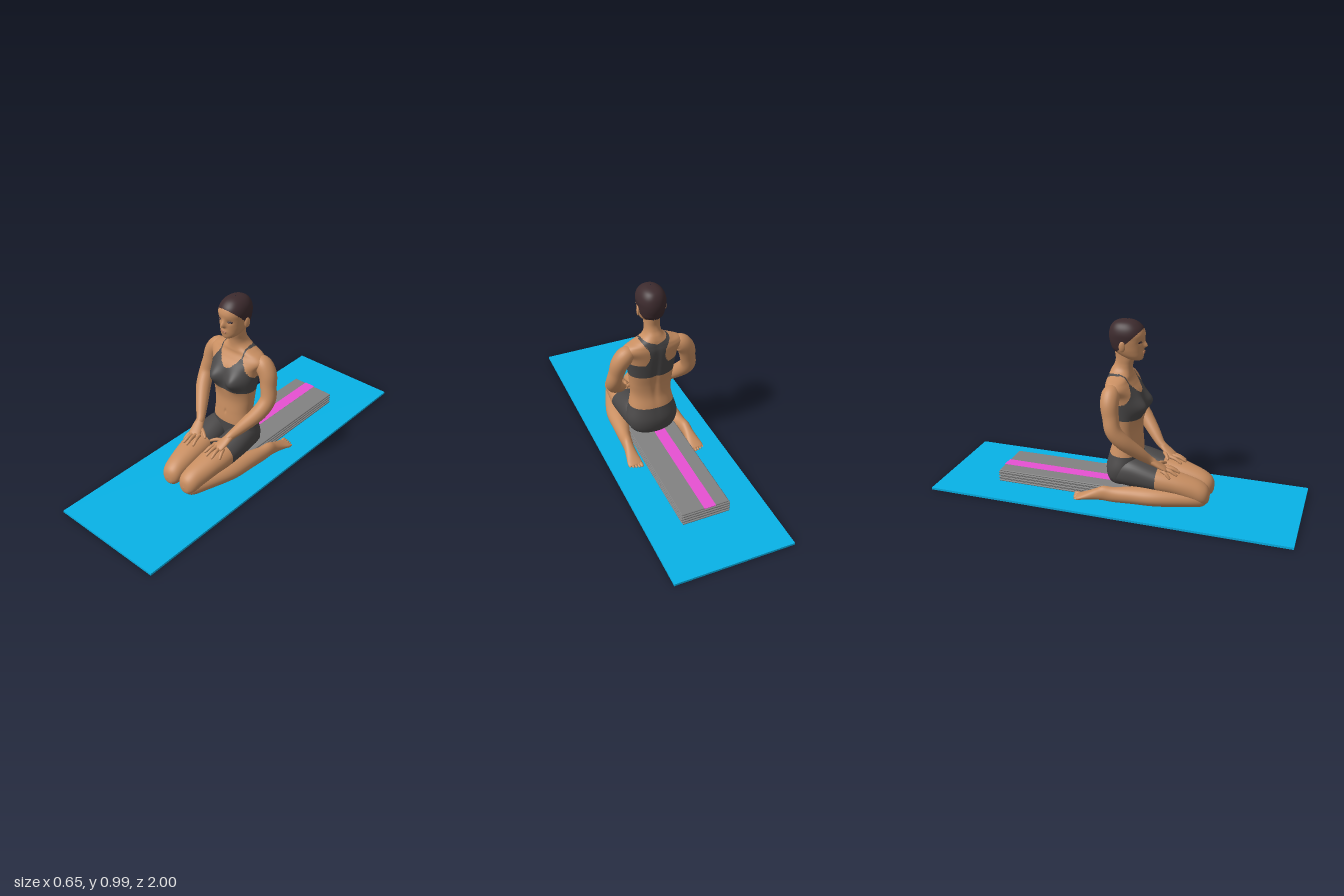
import * as THREE from 'three';
import { RoundedBoxGeometry } from 'three/addons/geometries/RoundedBoxGeometry.js';

const material = (name, color) => {
  const m = new THREE.MeshStandardMaterial({ color });
  m.name = name;
  return m;
};

const Y = new THREE.Vector3(0, 1, 0), Z = new THREE.Vector3(0, 0, 1), BACK = new THREE.Vector3(0, 0, -1);

// Catmull-Rom blend of whole rows of numbers
function refine(rows, steps) {
  const at = i => rows[Math.min(rows.length - 1, Math.max(0, i))];
  const out = [];
  for (let i = 0; i < rows.length - 1; i++) {
    for (let k = 0; k < steps; k++) {
      const t = k / steps;
      out.push(rows[i].map((p1, c) => {
        const p0 = at(i - 1)[c], p2 = at(i + 1)[c], p3 = at(i + 2)[c];
        return 0.5 * (2 * p1 + (p2 - p0) * t + (2 * p0 - 5 * p1 + 4 * p2 - p3) * t * t
          + (3 * p1 - p0 - 3 * p2 + p3) * t * t * t);
      }));
    }
  }
  out.push(rows[rows.length - 1]);
  return out;
}

// Smooth skin over rows [x, y, z, halfWidth, halfDepth]; paint() picks a material per face.
// axis fixes the section normal and must point the way the rows run.
function loft(name, rows, mats, { axis, ref = Z, sides = 20, steps = 5, power = 2, deform, paint } = {}) {
  const rings = refine(rows, steps);
  const pts = [];
  const center = i => new THREE.Vector3(...rings[Math.min(rings.length - 1, Math.max(0, i))].slice(0, 3));
  const curve = v => Math.sign(v) * Math.pow(Math.abs(v), 2 / power);
  rings.forEach((r, i) => {
    const T = axis || center(i + 1).sub(center(i - 1)).normalize();
    const U = T.clone().cross(ref).normalize(), V = U.clone().cross(T);
    for (let j = 0; j < sides; j++) {
      const a = j / sides * Math.PI * 2;
      const p = center(i).addScaledVector(U, Math.max(r[3], 0.0005) * curve(Math.cos(a)))
        .addScaledVector(V, Math.max(r[4], 0.0005) * curve(Math.sin(a)));
      if (deform) deform(p);
      pts.push(p);
    }
  });
  const buckets = mats.map(() => []);
  const face = (a, b, c) => {
    const mid = pts[a].clone().add(pts[b]).add(pts[c]).divideScalar(3);
    buckets[paint ? paint(mid) : 0].push(a, b, c);
  };
  for (let i = 0; i < rings.length - 1; i++) {
    for (let j = 0; j < sides; j++) {
      const a = i * sides + j, d = i * sides + (j + 1) % sides;
      face(a, a + sides, d);
      face(a + sides, d + sides, d);
    }
  }
  const g = new THREE.BufferGeometry().setFromPoints(pts);
  g.setIndex(buckets.flat());
  let start = 0;
  buckets.forEach((b, i) => { g.addGroup(start, b.length, i); start += b.length; });
  g.computeVertexNormals();
  const mesh = new THREE.Mesh(g, mats);
  mesh.name = name;
  return mesh;
}

function ball(name, mat, pos, scale, turn = 0) {
  const mesh = new THREE.Mesh(new THREE.SphereGeometry(1, 20, 12), mat);
  mesh.position.set(...pos);
  mesh.scale.set(...scale);
  mesh.rotation.y = turn;
  mesh.name = name;
  return mesh;
}

const bump = (v, mid, width) => Math.exp(-(((v - mid) / width) ** 2));

export function createModel() {
  const skin = material('skin', 0xc88e61), hair = material('hair', 0x3d2b2e), cloth = material('cloth', 0x4a4848);
  const matBlue = material('matBlue', 0x08b6ec), grey = material('blanketGrey', 0x828282);
  const pink = material('stripePink', 0xfc58e6), white = material('eyeWhite', 0xb8aca4), lip = material('lip', 0xb27454);
  const model = new THREE.Group();
  model.name = 'kneelingFigureOnMat';

  const box = (name, mat, size, pos, radius) => {
    const g = radius ? new RoundedBoxGeometry(...size, 2, radius) : new THREE.BoxGeometry(...size);
    const mesh = new THREE.Mesh(g, mat);
    mesh.position.set(...pos);
    mesh.name = name;
    model.add(mesh);
  };

  // Mat and folded blanket
  box('mat', matBlue, [0.65, 0.012, 2], [0, 0.006, 0]);
  for (let i = 0; i < 8; i++) {
    const shift = (i % 2) * 0.006;
    box('blanketLayer', grey, [0.264, 0.0088, 0.76 - shift], [0.001 + shift, 0.0164 + i * 0.0084, -0.3 + shift / 2], 0.004);
  }
  box('blanketStripe', pink, [0.065, 0.003, 0.755], [-0.018, 0.0785, -0.3]);

  const body = new THREE.Group();
  body.name = 'figure';
  body.position.x = 0.006;
  model.add(body);

  // Rows [y, halfWidth, frontZ, backZ] for upright parts
  const upright = rows => rows.map(([y, w, f, b]) => [0, y, (f + b) / 2, w, (f - b) / 2]);

  // Torso with sports top and waistband
  const topPaint = p => {
    const ax = Math.abs(p.x), y = p.y;
    if (y < 0.26) return 1;
    if (y < 0.472 || y > 0.725) return 0;
    if (p.z > 0.02) {
      if (ax > 0.07 && ax < 0.077 && y > 0.64) return 1;
      return y < (ax < 0.072 ? 0.6 + 0.07 * (ax / 0.072) ** 2 : 0.67 - (ax - 0.072) * 1.6) ? 1 : 0;
    }
    if (y < 0.56) return 1;
    return ax < 0.042 + 6 * (y - 0.62) ** 2 && y < 0.685 + ax * 0.35 ? 1 : 0;
  };
  body.add(loft('torso', upright([
    [0.08, 0.01, 0.05, 0.03], [0.085, 0.09, 0.09, -0.03], [0.115, 0.13, 0.11, -0.055], [0.18, 0.146, 0.125, -0.063],
    [0.26, 0.127, 0.13, -0.046], [0.33, 0.115, 0.125, -0.028], [0.4, 0.121, 0.12, -0.028], [0.47, 0.128, 0.128, -0.04],
    [0.54, 0.137, 0.13, -0.052], [0.6, 0.146, 0.117, -0.06], [0.645, 0.172, 0.088, -0.062], [0.672, 0.15, 0.072, -0.058],
    [0.69, 0.108, 0.069, -0.054], [0.706, 0.072, 0.067, -0.05], [0.725, 0.051, 0.067, -0.042], [0.75, 0.042, 0.07, -0.028],
    [0.78, 0.041, 0.078, -0.022], [0.82, 0.042, 0.085, -0.028],
  ]), [skin, cloth], {
    axis: Y, sides: 160, steps: 10, power: 2.2, paint: topPaint,
    deform: p => {
      const ax = Math.abs(p.x);
      if (p.z > 0.04) {
        p.z += 0.042 * bump(ax, 0.066, 0.047) * bump(p.y, 0.537, 0.05);
        p.z -= 0.006 * bump(p.x, 0, 0.005) * bump(p.y, 0.326, 0.012);
      } else if (p.z < 0) p.z += 0.008 * bump(p.x, 0, 0.018) * bump(p.y, 0.48, 0.16);
    },
  }));

  // Head with cropped hair, nose and eye sockets
  body.add(loft('head', upright([
    [0.776, 0.008, 0.107, 0.08], [0.781, 0.03, 0.121, 0.045], [0.8, 0.05, 0.127, 0.005], [0.83, 0.063, 0.128, -0.035],
    [0.86, 0.069, 0.129, -0.049], [0.89, 0.073, 0.132, -0.056], [0.92, 0.075, 0.134, -0.056], [0.95, 0.067, 0.123, -0.048],
    [0.973, 0.05, 0.1, -0.03], [0.986, 0.027, 0.073, 0], [0.99, 0.002, 0.045, 0.037],
  ]), [skin, hair], {
    axis: Y, sides: 144, steps: 9, power: 2.2,
    paint: p => (p.y > Math.min(0.945, 0.822 + 0.95 * Math.max(0, p.z + 0.005)) ? 1 : 0),
    deform: p => {
      if (p.z < 0.08) return;
      p.z += 0.021 * bump(p.x, 0, 0.011) * bump(p.y, 0.856, p.y > 0.856 ? 0.023 : 0.01);
      p.z -= 0.006 * bump(Math.abs(p.x), 0.031, 0.016) * bump(p.y, 0.879, 0.012);
      p.z += 0.005 * bump(p.x, 0, 0.022) * bump(p.y, 0.821, 0.011);
    },
  }));
  body.add(ball('upperLip', lip, [0, 0.8245, 0.1305], [0.02, 0.0036, 0.004]));
  body.add(ball('lowerLip', lip, [0, 0.8185, 0.1305], [0.017, 0.0042, 0.004]));

  for (const s of [1, -1]) {
    const side = s > 0 ? 'left' : 'right';
    const flip = rows => rows.map(([x, y, z, a, b = a]) => [x * s, y, z, a, b]);

    // Eyes and ears
    body.add(ball(side + 'Lashes', hair, [s * 0.032, 0.88, 0.1185], [0.0175, 0.0065, 0.0035], s * 0.35));
    body.add(ball(side + 'Eye', white, [s * 0.0325, 0.8782, 0.1202], [0.0105, 0.0028, 0.003], s * 0.35));
    body.add(ball(side + 'Iris', hair, [s * 0.0325, 0.8785, 0.122], [0.0045, 0.0034, 0.002], s * 0.35));
    body.add(ball(side + 'Ear', skin, [s * 0.073, 0.86, 0.033], [0.008, 0.028, 0.017], s * -0.25));

    // Arm
    body.add(loft(side + 'Arm', flip([
      [0.1, 0.63, 0, 0.022], [0.125, 0.637, 0, 0.036], [0.157, 0.626, 0, 0.048], [0.19, 0.582, 0.004, 0.048],
      [0.205, 0.52, 0.015, 0.043], [0.217, 0.45, 0.033, 0.042], [0.198, 0.385, 0.083, 0.041],
      [0.15, 0.315, 0.15, 0.033], [0.116, 0.268, 0.195, 0.024], [0.104, 0.25, 0.22, 0.021],
    ]), [skin], { sides: 28 }));

    // Hand: palm, four fingers and thumb resting on the thigh
    const hand = new THREE.Group();
    hand.name = side + 'Hand';
    hand.add(loft('palm', flip([
      [0.112, 0.262, 0.2, 0.021, 0.019], [0.098, 0.235, 0.243, 0.031, 0.015], [0.088, 0.214, 0.278, 0.033, 0.012],
      [0.086, 0.208, 0.29, 0.022, 0.006], [0.086, 0.207, 0.292, 0.001, 0.001],
    ]), [skin], { ref: Y }));
    const fingers = [
      [0.115, 0.21, 0.268, 0.131, 0.176, 0.318], [0.097, 0.214, 0.278, 0.102, 0.187, 0.349],
      [0.078, 0.216, 0.278, 0.071, 0.193, 0.357], [0.06, 0.214, 0.266, 0.042, 0.19, 0.338],
      [0.075, 0.228, 0.232, 0.015, 0.214, 0.268],
    ];
    for (const [x, y, z, tx, ty, tz] of fingers) {
      const at = (t, lift, r) => [x + (tx - x) * t, y + (ty - y) * t + lift, z + (tz - z) * t, r];
      hand.add(loft('finger', flip([
        at(0, 0, 0.01), at(0.45, 0.007, 0.0095), at(0.8, 0.003, 0.008), at(0.97, 0, 0.0055), at(1, 0, 0.0005),
      ]), [skin], { ref: Y, sides: 12, steps: 3 }));
    }
    body.add(hand);

    // Thigh with shorts
    body.add(loft(side + 'Thigh', flip([
      [0.08, 0.155, -0.01, 0.055, 0.06], [0.081, 0.166, 0.09, 0.074, 0.08], [0.08, 0.146, 0.24, 0.079, 0.066],
      [0.073, 0.128, 0.35, 0.072, 0.06], [0.064, 0.1, 0.44, 0.063, 0.062], [0.06, 0.083, 0.488, 0.054, 0.055],
      [0.06, 0.075, 0.512, 0.032, 0.036], [0.06, 0.074, 0.519, 0.001, 0.001],
    ]), [skin, cloth], { axis: Z, ref: Y, sides: 36, steps: 12, power: 2.1, paint: p => (p.z < 0.24 ? 1 : 0) }));

    // Folded lower leg and foot
    body.add(loft(side + 'LowerLeg', flip([
      [0.063, 0.055, 0.508, 0.002, 0.002], [0.064, 0.055, 0.5, 0.028, 0.028], [0.067, 0.056, 0.475, 0.047, 0.043],
      [0.085, 0.06, 0.4, 0.06, 0.048], [0.128, 0.063, 0.25, 0.064, 0.051], [0.15, 0.061, 0.12, 0.051, 0.047],
      [0.168, 0.056, 0.02, 0.035, 0.042], [0.176, 0.06, -0.04, 0.03, 0.041], [0.179, 0.05, -0.08, 0.029, 0.033],
      [0.182, 0.036, -0.13, 0.035, 0.022], [0.184, 0.026, -0.17, 0.04, 0.013], [0.184, 0.023, -0.188, 0.03, 0.007],
      [0.184, 0.023, -0.19, 0.001, 0.001],
    ]), [skin], { axis: BACK, ref: Y, sides: 32 }));
    for (let i = 0; i < 5; i++) {
      const r = i ? 0.0085 - i * 0.0005 : 0.011;
      body.add(ball(side + 'Toe', skin, [s * (0.154 + i * 0.0158), 0.022, -0.192 + i * i * 0.0011], [r, r * 0.9, 0.021]));
    }
  }
  return model;
}
